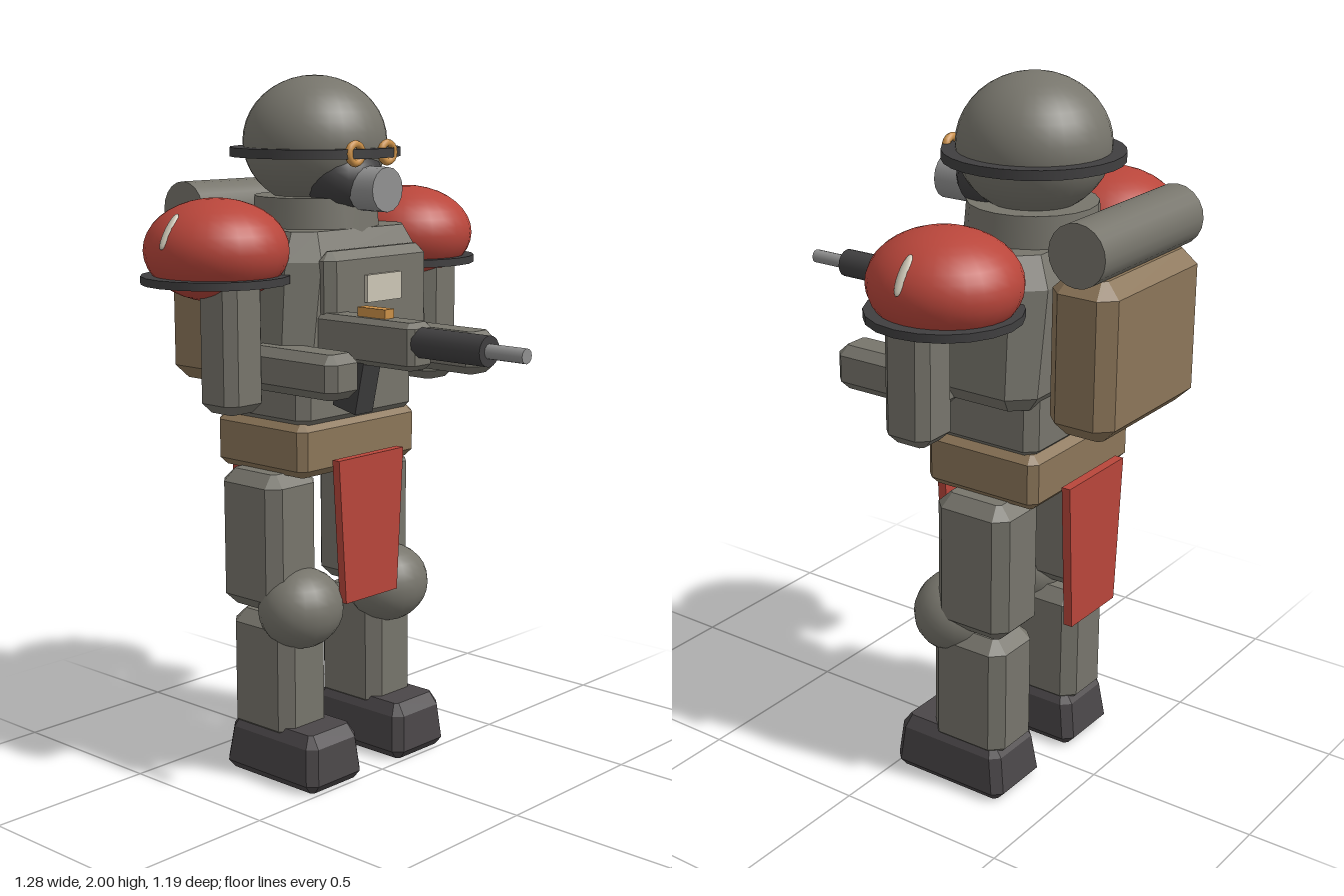
import * as THREE from 'three';
import { ConvexGeometry } from 'three/addons/geometries/ConvexGeometry.js';

const paint = (name, color) => new THREE.MeshStandardMaterial({ name, color });

// Convex block from horizontal eight-sided sections [y, x0, x1, z0, z1, corner cut]
function sections(list) {
  const pts = [];
  for (const [y, x0, x1, z0, z1, c] of list) {
    for (const [x, s] of [[x0, 1], [x1, -1]]) {
      for (const [z, t] of [[z0, 1], [z1, -1]]) {
        pts.push(new THREE.Vector3(x + s * c, y, z), new THREE.Vector3(x, y, z + t * c));
      }
    }
  }
  return new ConvexGeometry(pts);
}

// Box with chamfered edges, given by its limits
function block(x0, x1, y0, y1, z0, z1, b = 0.025) {
  return sections([
    [y0, x0 + b, x1 - b, z0 + b, z1 - b, b * 0.3],
    [y0 + b, x0, x1, z0, z1, b],
    [y1 - b, x0, x1, z0, z1, b],
    [y1, x0 + b, x1 - b, z0 + b, z1 - b, b * 0.3],
  ]);
}

// Cylinder lying along x
function rod(x0, x1, r, sides = 16) {
  return new THREE.CylinderGeometry(r, r, x1 - x0, sides).rotateZ(-Math.PI / 2).translate((x0 + x1) / 2, 0, 0);
}

export function createModel() {
  const model = new THREE.Group();
  model.name = 'armouredTrooper';
  const grey = paint('armourGrey', 0x77756c);
  const dark = paint('darkMetal', 0x403f40);
  const boot = paint('bootLeather', 0x4a4648);
  const red = paint('red', 0xb9463b);
  const brown = paint('canvasBrown', 0x8c7659);
  const brass = paint('brass', 0xcb9048);
  const cream = paint('cream', 0xcdc7b6);
  const steel = paint('steel', 0x919191);

  const add = (name, geometry, material, x = 0, y = 0, z = 0) => {
    const mesh = new THREE.Mesh(geometry, material);
    mesh.name = name;
    mesh.position.set(x, y, z);
    model.add(mesh);
    return mesh;
  };

  // Head: helmet, brim, mask, breather and goggles
  const cx = -0.257;
  add('helmet', new THREE.SphereGeometry(0.205, 32, 20).scale(1, 0.9, 1), grey, cx, 1.815);
  add('helmetBrim', new THREE.CylinderGeometry(0.242, 0.242, 0.026, 28), dark, cx, 1.787);
  add('faceMask', new THREE.SphereGeometry(0.115, 20, 14).scale(0.95, 0.85, 1.05), dark, -0.148, 1.715);
  add('breather', rod(-0.07, 0.02, 0.062), steel, 0, 1.69);
  for (const s of [-1, 1]) {
    add('goggleRim', new THREE.TorusGeometry(0.026, 0.011, 8, 16).rotateY(Math.PI / 2), brass, -0.04, 1.788, s * 0.065);
  }
  add('goggleBridge', new THREE.BoxGeometry(0.014, 0.014, 0.07), brass, -0.04, 1.788);
  add('collar', new THREE.CylinderGeometry(0.175, 0.185, 0.13, 20), grey, cx, 1.6);

  // Torso, chest plate and belt
  add('chest', sections([
    [1.18, -0.41, -0.07, -0.27, 0.27, 0.04],
    [1.22, -0.44, -0.04, -0.3, 0.3, 0.06],
    [1.5, -0.44, -0.04, -0.27, 0.27, 0.07],
    [1.58, -0.4, -0.08, -0.225, 0.225, 0.05],
  ]), grey);
  add('abdomen', block(-0.425, -0.08, 1.03, 1.24, -0.235, 0.235, 0.03), grey);
  add('chestPlate', block(-0.07, -0.003, 1.245, 1.53, -0.205, 0.205, 0.025), grey);
  add('chestBadge', new THREE.BoxGeometry(0.014, 0.076, 0.14), cream, 0.002, 1.422);
  add('belt', block(-0.435, -0.08, 0.895, 1.05, -0.24, 0.24, 0.022), brown);

  // Pack and bedroll
  add('backpack', block(-0.645, -0.45, 1.125, 1.55, -0.235, 0.235, 0.04), brown);
  add('bedroll', new THREE.CylinderGeometry(0.083, 0.083, 0.484, 20).rotateX(Math.PI / 2), grey, -0.548, 1.618);

  // Hanging cloth panels, narrower at the hem
  const panel = new THREE.Shape();
  [[-0.135, 0.94], [-0.108, 0.52], [0.108, 0.52], [0.135, 0.94]].forEach(([z, y], i) =>
    i ? panel.lineTo(z, y) : panel.moveTo(z, y));
  const cloth = new THREE.ExtrudeGeometry(panel, { depth: 0.026, bevelEnabled: false }).rotateY(Math.PI / 2);
  add('frontPanel', cloth, red, -0.066);
  add('backPanel', cloth, red, -0.479);

  for (const s of [-1, 1]) {
    const side = s > 0 ? 'right' : 'left';
    // Mirrored limits in z
    const limb = (name, x0, x1, y0, y1, zi, zo, b, mat) =>
      add(side + name, block(x0, x1, y0, y1, Math.min(s * zi, s * zo), Math.max(s * zi, s * zo), b), mat);

    // Shoulder guard with rim and oval mark
    add(side + 'ShoulderGuard', new THREE.SphereGeometry(0.203, 28, 18).scale(1, 0.69, 0.96), red, -0.256, 1.535, s * 0.386);
    add(side + 'ShoulderRim', new THREE.CylinderGeometry(0.204, 0.204, 0.022, 20), dark, -0.256, 1.457, s * 0.39);
    const mark = add(side + 'ShoulderMark', new THREE.SphereGeometry(1, 12, 10).scale(0.015, 0.055, 0.012), cream, -0.256, 1.594, s * 0.553);
    mark.rotation.x = -s * 0.6;

    // Arm
    limb('UpperArm', -0.255, -0.112, 1.1, 1.47, 0.335, 0.475, 0.028, grey);
    limb('Forearm', -0.2, 0.14, 1.155, 1.278, 0.228, 0.353, 0.025, grey);

    // Leg
    limb('Thigh', -0.375, -0.14, 0.5, 0.9, 0.1, 0.295, 0.035, grey);
    add(side + 'Knee', new THREE.SphereGeometry(0.116, 20, 14).scale(1, 1, 1.12), grey, -0.146, 0.505, s * 0.184);
    limb('Shin', -0.355, -0.115, 0.12, 0.485, 0.09, 0.277, 0.035, grey);
    const zc = s * 0.182;
    add(side + 'Boot', sections([
      [0, -0.345, -0.02, zc - 0.09, zc + 0.09, 0.01],
      [0.025, -0.368, 0, zc - 0.11, zc + 0.11, 0.025],
      [0.13, -0.352, -0.01, zc - 0.1, zc + 0.1, 0.025],
      [0.165, -0.325, -0.035, zc - 0.08, zc + 0.08, 0.01],
    ]), boot);
  }

  // Rifle
  const gz = 0.17;
  add('rifleBody', block(-0.06, 0.297, 1.238, 1.365, gz - 0.046, gz + 0.046, 0.015), grey);
  add('rifleBarrel', rod(0.29, 0.52, 0.041), dark, 0, 1.312, gz);
  add('rifleMuzzle', rod(0.515, 0.64, 0.02, 12), steel, 0, 1.312, gz);
  add('rifleSight', new THREE.BoxGeometry(0.1, 0.03, 0.036), brass, 0.13, 1.375, gz);
  const magazine = add('rifleMagazine', new THREE.BoxGeometry(0.085, 0.16, 0.07), dark, 0.062, 1.185, gz);
  magazine.rotation.z = -0.22;

  return model;
}
